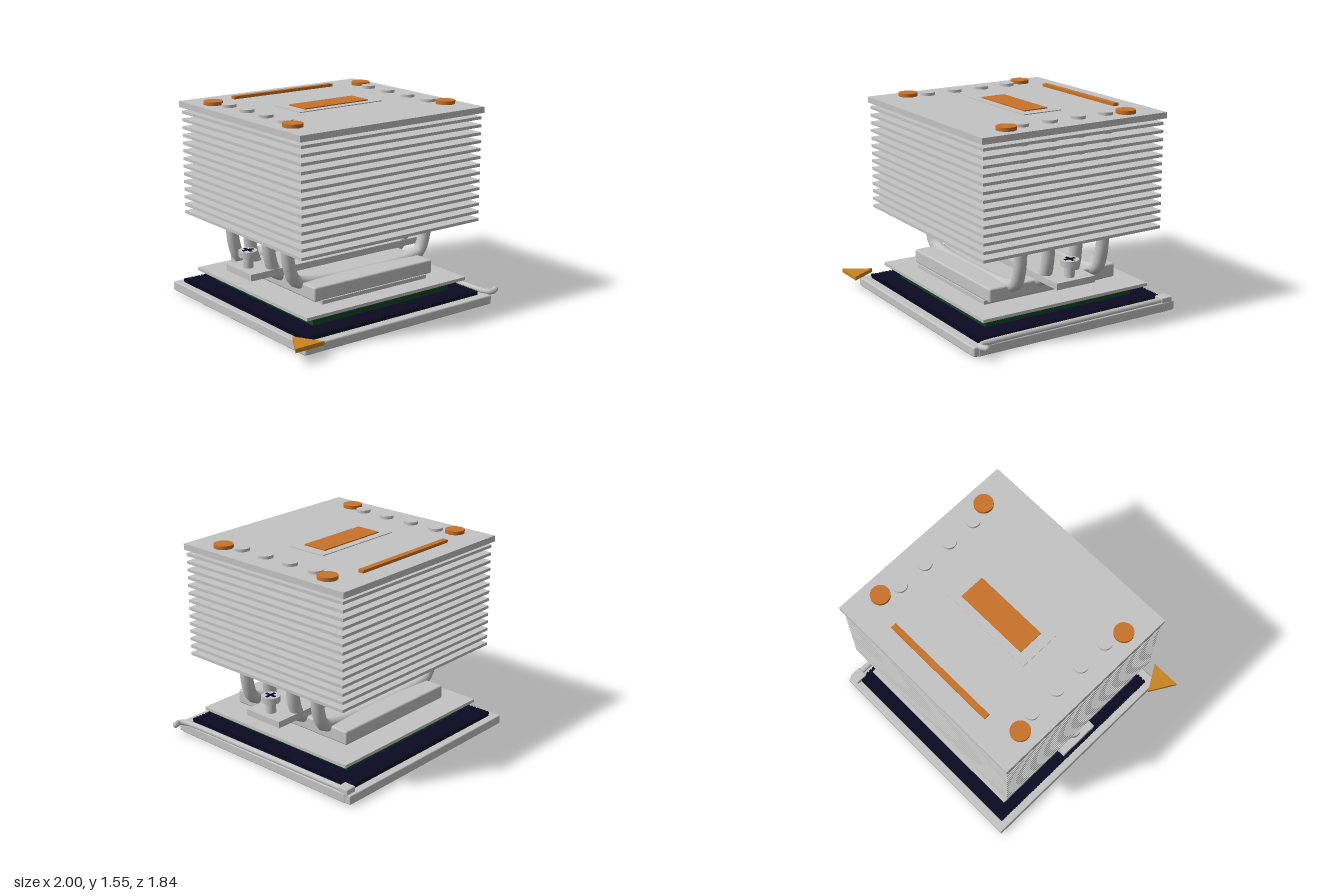
import * as THREE from 'three';
import { RoundedBoxGeometry } from 'three/addons/geometries/RoundedBoxGeometry.js';
import { mergeGeometries } from 'three/addons/utils/BufferGeometryUtils.js';

const mat = (name, color) => {
  const m = new THREE.MeshStandardMaterial({ color });
  m.name = name;
  return m;
};

export function createModel() {
  const root = new THREE.Group();
  root.name = 'cooledProcessor';
  const metal = mat('lightMetal', 0xc4c4c4);
  const copper = mat('copper', 0xc8722a);
  const gold = mat('gold', 0xc98420);
  const navy = mat('darkNavy', 0x0b0a22);
  const green = mat('boardGreen', 0x124426);

  const add = (name, geo, material) => {
    const mesh = new THREE.Mesh(geo, material);
    mesh.name = name;
    root.add(mesh);
    return mesh;
  };
  // Box geometry given by its limits on each axis; r rounds the edges
  const span = (x0, x1, y0, y1, z0, z1, r = 0) => {
    const s = [x1 - x0, y1 - y0, z1 - z0];
    const g = r ? new RoundedBoxGeometry(...s, 2, r) : new THREE.BoxGeometry(...s);
    return g.translate((x0 + x1) / 2, (y0 + y1) / 2, (z0 + z1) / 2);
  };
  const disc = (r, x, y0, y1, z) =>
    new THREE.CylinderGeometry(r, r, y1 - y0, 32).translate(x, (y0 + y1) / 2, z);
  // Flat triangular plate from [x, z] corners
  const triangle = (pts, y0, y1) => {
    const shape = new THREE.Shape(pts.map(([x, z]) => new THREE.Vector2(x, -z)));
    return new THREE.ExtrudeGeometry(shape, { depth: y1 - y0, bevelEnabled: false })
      .rotateX(-Math.PI / 2).translate(0, y0, 0);
  };

  // Socket frame
  add('frameBack', span(-0.86, 0.895, 0.006, 0.075, -0.92, -0.855, 0.008), metal);
  add('frameFront', span(-0.86, 0.895, 0.006, 0.078, 0.76, 0.838, 0.012), metal);
  add('frameLeft', span(0.825, 0.9, 0.006, 0.078, -0.87, 0.8, 0.008), metal);
  add('frameRight', span(-0.86, -0.8, 0.006, 0.078, -0.87, 0.8, 0.008), metal);
  add('latchBlock', span(0.81, 0.897, 0.06, 0.115, -0.895, -0.8, 0.008), metal);

  // Contact field with a toothed rim
  add('socketUnderside', span(-0.84, 0.875, 0, 0.012, -0.895, 0.815), navy);
  add('socketField', span(-0.8, 0.82, 0.012, 0.09, -0.85, 0.76), navy);
  const teeth = [];
  const n = 54;
  for (let i = 0; i < n; i++) {
    const x = -0.79 + (1.6 * i) / (n - 1), z = -0.84 + (1.59 * i) / (n - 1);
    for (const zz of [-0.84, 0.75]) teeth.push(span(x - 0.009, x + 0.009, 0.085, 0.103, zz - 0.015, zz + 0.015));
    for (const xx of [-0.79, 0.81]) teeth.push(span(xx - 0.015, xx + 0.015, 0.085, 0.103, z - 0.009, z + 0.009));
  }
  add('contactTeeth', mergeGeometries(teeth), navy);
  add('contactBed', span(-0.78, 0.8, 0.085, 0.103, -0.83, 0.74), navy);

  // Retention lever with its outward curled tip
  const leverPath = new THREE.CatmullRomCurve3([
    [0.868, 0.09, -0.82], [0.87, 0.09, -0.4], [0.875, 0.09, 0.2], [0.88, 0.09, 0.66],
    [0.89, 0.09, 0.76], [0.92, 0.09, 0.805], [0.96, 0.092, 0.8], [0.985, 0.094, 0.785],
  ].map((p) => new THREE.Vector3(...p)));
  add('lever', new THREE.TubeGeometry(leverPath, 60, 0.022, 12), metal);
  const tip = add('leverTip', new THREE.SphereGeometry(0.022, 12, 8), metal);
  tip.position.set(0.978, 0.094, 0.786);

  // Orientation markers
  add('cornerArrow', triangle([[-1, 0.92], [-0.76, 0.92], [-0.88, 0.715]], 0.09, 0.12), gold);
  add('boardArrow', triangle([[-0.63, 0.58], [-0.48, 0.58], [-0.55, 0.5]], 0.145, 0.165), gold);

  // Processor board, edge components and lid
  add('board', span(-0.62, 0.66, 0.103, 0.145, -0.68, 0.6), green);
  for (let i = 0; i < 8; i++) {
    const d = -0.53 + i * 0.151;
    for (const z of [-0.645, 0.565]) {
      if (i > 0 || z < 0) add('edgeComponent', span(d, d + 0.05, 0.145, 0.154, z - 0.015, z + 0.015), navy);
    }
    for (const x of [-0.585, 0.625])
      add('edgeComponent', span(x - 0.015, x + 0.015, 0.145, 0.154, d - 0.06, d - 0.01), navy);
  }
  add('lidBody', span(-0.54, 0.58, 0.145, 0.186, -0.6, 0.52), metal);
  add('lidPlate', span(-0.73, 0.765, 0.183, 0.207, -0.76, 0.68), metal);
  add('lidTop', span(-0.475, 0.51, 0.205, 0.236, -0.53, 0.52), metal);
  add('contactBlock', span(-0.535, 0.572, 0.232, 0.34, -0.595, 0.51, 0.014), metal);

  // Clamp bar with two cross-head screws
  add('clampBar', span(-0.82, 0.855, 0.345, 0.395, -0.205, 0.125), metal);
  for (const x of [-0.735, 0.77]) {
    add('screwShaft', disc(0.038, x, 0.39, 0.485, -0.04), metal);
    add('screwHead', disc(0.069, x, 0.48, 0.526, -0.04), metal);
    for (const turn of [0, Math.PI / 2]) {
      const slot = add('screwSlot', new THREE.BoxGeometry(0.09, 0.006, 0.02), navy);
      slot.position.set(x, 0.527, -0.04);
      slot.rotation.y = turn;
    }
  }

  // U-shaped heat pipes with end caps
  const half = [[0.662, 1.52], [0.662, 1.1], [0.66, 0.7], [0.637, 0.46], [0.59, 0.355], [0.48, 0.318], [0.25, 0.3]];
  const profile = [...half.map(([x, y]) => [-x, y]), [0, 0.298], ...half.slice().reverse()];
  for (const z of [0.315, 0.077, -0.163, -0.403]) {
    const path = new THREE.CatmullRomCurve3(profile.map(([x, y]) => new THREE.Vector3(x + 0.018, y, z)));
    add('heatPipe', new THREE.TubeGeometry(path, 90, 0.048, 16), metal);
    for (const x of [-0.64, 0.675]) add('pipeCap', disc(0.055, x, 1.515, 1.545, z), metal);
  }

  // Cooling fins and top plate
  for (let i = 0; i < 14; i++) {
    const y = 0.66 + i * 0.06;
    add('fin', span(-0.805, 0.842, y - 0.011, y + 0.011, -0.802, 0.725), metal);
  }
  add('topPlate', span(-0.82, 0.855, 1.477, 1.523, -0.82, 0.738), metal);

  // Copper details on the top plate
  for (const x of [-0.682, 0.717])
    for (const z of [-0.553, 0.463]) add('copperStud', disc(0.073, x, 1.52, 1.55, z), copper);
  add('copperStrip', span(-0.45, 0.483, 1.52, 1.545, -0.665, -0.62), copper);
  add('badgeBase', span(-0.365, 0.395, 1.522, 1.529, -0.21, 0.11), metal);
  add('badgePlate', span(-0.28, 0.31, 1.528, 1.537, -0.15, 0.05), copper);

  return root;
}
